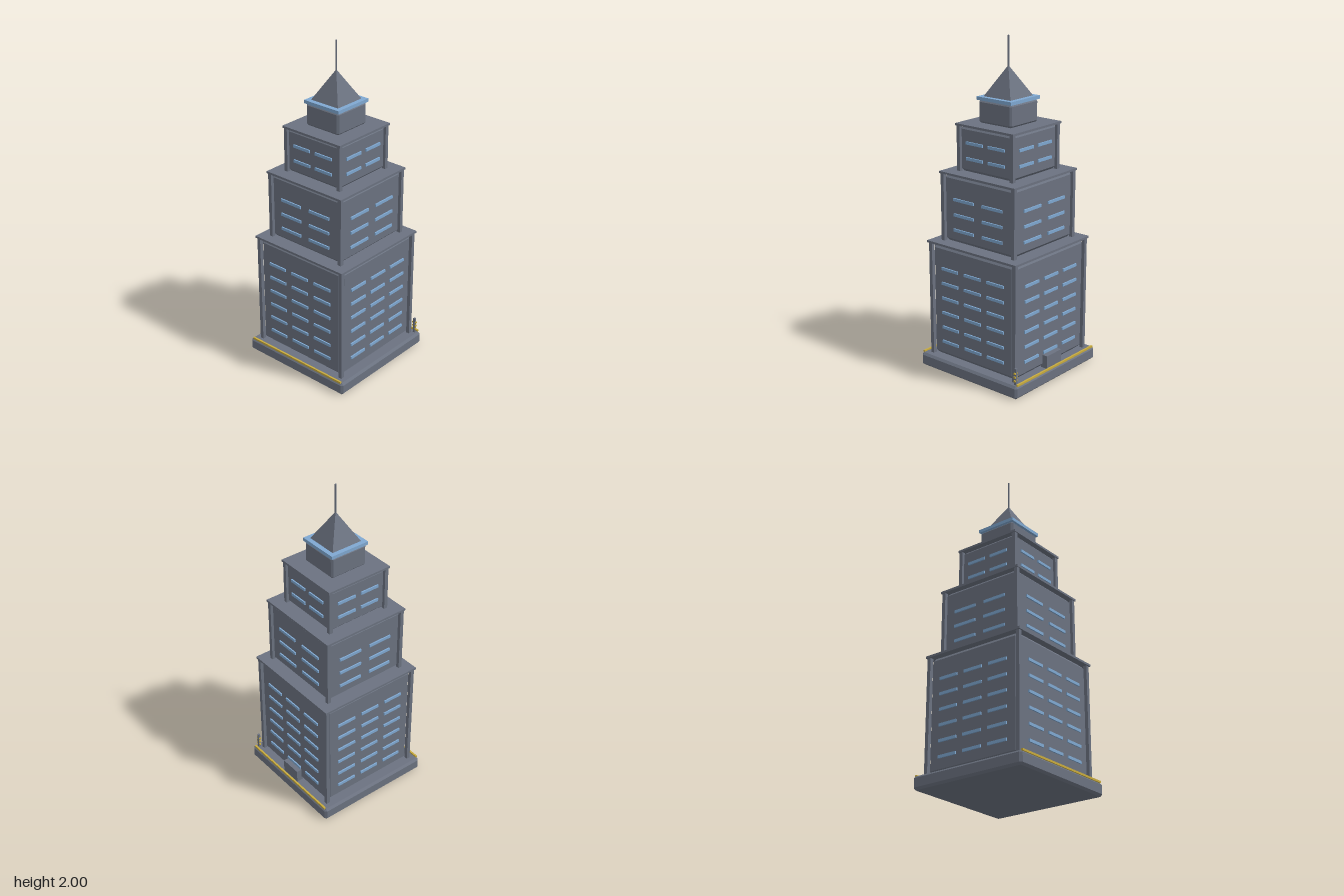
import * as THREE from 'three';
import { ConvexGeometry } from 'three/addons/geometries/ConvexGeometry.js';

const material = (name, color) => {
  const m = new THREE.MeshStandardMaterial({ color });
  m.name = name;
  return m;
};

export function createModel() {
  const stone = material('slate grey', 0x6b7280);
  const glass = material('pale blue', 0x7fa8d1);
  const gold = material('gold', 0xc8ab3e);
  const tower = new THREE.Group();
  tower.name = 'tower';

  const add = (parent, name, geometry, mat, x = 0, y = 0, z = 0) => {
    const mesh = new THREE.Mesh(geometry, mat);
    mesh.name = name;
    mesh.position.set(x, y, z);
    parent.add(mesh);
    return mesh;
  };
  const box = (parent, name, w, h, d, mat, x, y, z) =>
    add(parent, name, new THREE.BoxGeometry(w, h, d), mat, x, y, z);

  // Square block with all twelve edges bevelled by c
  const bevelled = (half, height, c) => {
    const points = [], h = height / 2;
    for (const sx of [-1, 1]) for (const sy of [-1, 1]) for (const sz of [-1, 1]) {
      points.push(
        new THREE.Vector3(sx * half, sy * (h - c), sz * (half - c)),
        new THREE.Vector3(sx * (half - c), sy * h, sz * (half - c)),
        new THREE.Vector3(sx * (half - c), sy * (h - c), sz * half));
    }
    return new ConvexGeometry(points);
  };

  // Base with gold strips along front and back
  add(tower, 'base', bevelled(0.375, 0.08, 0.013), stone, 0, 0.04, 0);
  for (const s of [-1, 1])
    box(tower, 'goldStrip', 0.714, 0.012, 0.011, gold, 0, 0.083, s * 0.3665);

  // Stepped tiers: bevelled body, corner pillars, roof slab, window bars
  const tiers = [
    { name: 'lowerTier', y0: 0.08, y1: 0.797, half: 0.32, cap: 0.339, bevel: 0.025,
      columns: [-0.175, 0, 0.175], width: 0.127, rows: 6, firstRow: 0.175 },
    { name: 'middleTier', y0: 0.797, y1: 1.218, half: 0.267, cap: 0.284, bevel: 0.021,
      columns: [-0.108, 0.108], width: 0.153, rows: 3, firstRow: 0.876 },
    { name: 'upperTier', y0: 1.218, y1: 1.5, half: 0.199, cap: 0.216, bevel: 0.018,
      columns: [-0.082, 0.082], width: 0.124, rows: 2, firstRow: 1.299 },
  ];
  for (const t of tiers) {
    const tier = new THREE.Group();
    tier.name = t.name;
    tower.add(tier);
    const height = t.y1 - t.y0 - 0.013, mid = t.y0 + height / 2;
    add(tier, 'body', bevelled(t.half, height, t.bevel), stone, 0, mid, 0);
    box(tier, 'roofSlab', t.cap * 2, 0.013, t.cap * 2, stone, 0, t.y1 - 0.0065, 0);
    for (const sx of [-1, 1]) for (const sz of [-1, 1])
      box(tier, 'cornerPillar', 0.023, height, 0.023, stone, sx * t.half, mid, sz * t.half);
    for (let side = 0; side < 4; side++) {
      const wall = new THREE.Group();
      wall.name = 'windows';
      wall.rotation.y = side * Math.PI / 2;
      tier.add(wall);
      for (const x of t.columns) for (let r = 0; r < t.rows; r++)
        box(wall, 'window', t.width, 0.017, 0.009, glass, x, t.firstRow + r * 0.0928, t.half + 0.0035);
    }
  }

  // Crown, pyramid roof and mast
  add(tower, 'crown', bevelled(0.122, 0.133, 0.011), stone, 0, 1.5665, 0);
  box(tower, 'crownSlab', 0.256, 0.02, 0.256, glass, 0, 1.643, 0);
  const roof = new THREE.ConeGeometry(0.1 * Math.SQRT2, 0.177, 4, 1).rotateY(Math.PI / 4).toNonIndexed();
  roof.computeVertexNormals();
  add(tower, 'pyramidRoof', roof, stone, 0, 1.7415, 0);
  add(tower, 'mast', new THREE.CylinderGeometry(0.005, 0.005, 0.185, 8), stone, 0, 1.9075, 0);

  // Back entrance
  box(tower, 'entrance', 0.134, 0.08, 0.044, stone, 0, 0.12, -0.332);

  // Small post with gold rungs at the back corner
  box(tower, 'post', 0.013, 0.1, 0.013, stone, 0.344, 0.13, -0.347);
  for (const y of [0.105, 0.128, 0.151])
    box(tower, 'postRung', 0.028, 0.01, 0.011, gold, 0.344, y, -0.347);

  return tower;
}
